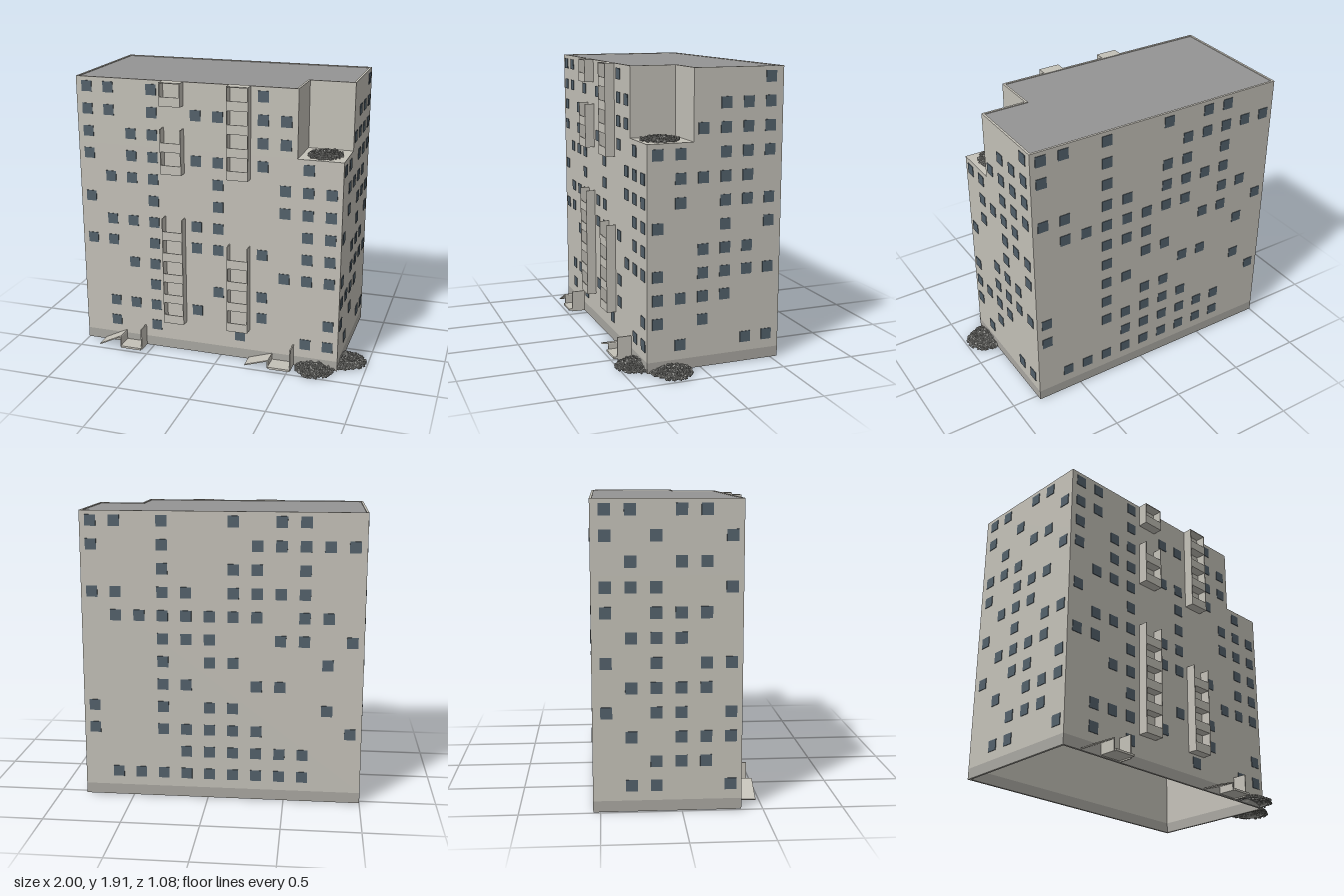
import * as THREE from 'three';
import { mergeGeometries } from 'three/addons/utils/BufferGeometryUtils.js';

const mat = (color) => new THREE.MeshStandardMaterial({ color, side: THREE.DoubleSide, flatShading: true });
const WALL = mat(0xc4c1b8), BASE = mat(0xa9a7a1), ROOF = mat(0x949494), GLASS = mat(0x53616b);
const PANEL = mat(0xb4beb6), RUBBLE = mat(0x8c8c88);

// Main dimensions
const L = -1, R = 0.82, F = 0.365, B = -0.545, H = 1.9;
const NX = 0.52, NZ = 0.06, TERRACE = 1.45, T = 0.015, STEP = 0.152;

function box(x0, x1, y0, y1, z0, z1) {
  return new THREE.BoxGeometry(x1 - x0, y1 - y0, z1 - z0)
    .translate((x0 + x1) / 2, (y0 + y1) / 2, (z0 + z1) / 2);
}

// Plan outlines in (x, z), inset by t
const rectPlan = (t) => [[L + t, B + t], [R - t, B + t], [R - t, F - t], [L + t, F - t]];
const cutPlan = (t) => [[L + t, B + t], [R - t, B + t], [R - t, NZ - t], [NX - t, NZ - t], [NX - t, F - t], [L + t, F - t]];
const toVectors = (pts) => pts.map((p) => new THREE.Vector2(...p));

// Upright prism of a plan, optionally hollow
function prism(outer, inner, y0, y1) {
  const shape = new THREE.Shape(toVectors(outer));
  if (inner) shape.holes.push(new THREE.Path(toVectors(inner)));
  return new THREE.ExtrudeGeometry(shape, { depth: y1 - y0, bevelEnabled: false })
    .rotateX(Math.PI / 2).translate(0, y1, 0);
}

// Window columns per storey, from the top storey down
const FRONT = [[0, 1, 3, 8], [0, 1, 3, 5, 6, 8, 9], [0, 2, 3, 8, 9], [0, 2, 3, 5, 6, 8, 10], [1, 2, 3, 6, 9, 10, 11],
  [0, 3, 6, 9, 10, 11], [1, 2, 3, 5, 6, 10, 11], [0, 1, 3, 5, 6, 8, 10, 11], [2, 3, 9, 10, 11], [3, 6, 8],
  [1, 2, 3, 5, 8, 11], [1, 3, 7, 10, 11]];
const RIGHT = [[5], [3, 4, 5], [2, 3, 4, 5], [0, 1, 3, 4, 5], [1, 2, 3, 4], [1, 3, 4, 5], [0, 3, 5],
  [2, 3, 4], [0, 2, 3, 4, 5], [0, 1, 2, 3], [0, 2], [1, 4, 5]];
const BACK = [[0, 1, 3, 6, 8, 9], [0, 3, 7, 8, 9, 10, 11], [3, 6, 7, 9], [0, 1, 3, 4, 6, 7, 8, 9],
  [1, 2, 3, 4, 5, 6, 7, 9, 10], [3, 4, 5, 8, 9, 11], [3, 5, 6, 10], [3, 4, 7, 8], [0, 3, 5, 6, 10],
  [0, 3, 4, 5, 6, 7, 11], [4, 5, 6, 7, 8, 9], [1, 2, 3, 4, 5, 6, 7, 8, 9]];
const LEFT = [[1, 2, 4, 5], [0, 3, 5], [1, 2, 4], [0, 3, 4, 5], [1, 2, 3, 5], [2, 3, 4], [0, 1, 3, 5],
  [1, 2, 3, 4], [0, 2, 3, 5], [0, 1, 2, 4], [1, 2, 3], [0, 3, 4]];

function windows(rows, place) {
  const parts = [];
  rows.forEach((cols, r) => cols.forEach((c) => parts.push(place(c, 1.837 - r * STEP))));
  return mergeGeometries(parts);
}

// Small seeded generator for the rubble
function seeded(s) {
  return () => ((s = (s * 16807) % 2147483647) / 2147483647);
}

// Low heap of broken pieces; a0..a1 limits the directions it spreads in
function heap(x, y, z, rx, rz, h, a0, a1, seed) {
  const rnd = seeded(seed), parts = [];
  for (let i = 0; i < 420; i++) {
    const a = a0 + (a1 - a0) * rnd(), d = Math.sqrt(rnd());
    const s = 0.005 + 0.008 * rnd();
    parts.push(new THREE.IcosahedronGeometry(s, 0)
      .scale(1, 0.4 + 0.5 * rnd(), 0.5 + rnd())
      .rotateX(rnd() * 3).rotateY(rnd() * 6)
      .translate(x + Math.cos(a) * d * rx, y + s * 0.6 + h * (1 - d * d) * (0.75 + 0.25 * rnd()), z + Math.sin(a) * d * rz));
  }
  const mound = new THREE.SphereGeometry(1, 18, 5, 0, Math.PI * 2, 0, Math.PI / 2).toNonIndexed();
  const p = mound.attributes.position;
  for (let i = 0; i < p.count; i++) {
    // fold the dome flat against the wall it leans on
    let px = p.getX(i) * rx * 0.85, pz = p.getZ(i) * rz * 0.85;
    if (a1 - a0 < 4) {
      if (a0 < 0) px = Math.max(px, 0);
      else pz = Math.max(pz, 0);
    }
    p.setXYZ(i, x + px, y + p.getY(i) * h * 0.8, z + pz);
  }
  mound.computeVertexNormals();
  parts.push(mound);
  return mergeGeometries(parts);
}

// Stack of balconies: two side fins, a floor and a parapet per storey, optional cap
function balconies(x0, x1, y0, floors, cap) {
  const t = 0.006, z1 = 0.43, top = cap ? H : y0 + floors * STEP, parts = [];
  parts.push(box(x0, x0 + t, y0, top, F, z1), box(x1 - t, x1, y0, top, F, z1));
  for (let i = 0; i < floors; i++) {
    const y = y0 + i * STEP;
    parts.push(box(x0, x1, y, y + t, F, z1), box(x0, x1, y, y + 0.062, z1 - t, z1));
  }
  if (cap) parts.push(box(x0, x1, H - t, H, F, z1));
  return mergeGeometries(parts);
}

// Entrance: sloping plate, landing, low wall and tall side wall
function entrance(x, rise) {
  const t = 0.008, w = 0.165;
  const plate = new THREE.BoxGeometry(Math.hypot(w, rise), t, 0.11)
    .rotateZ(Math.atan2(rise, w)).translate(x - w / 2, rise / 2 + 0.008, F + 0.055);
  return mergeGeometries([plate,
    box(x, x + 0.15, 0.008, 0.022, F, 0.487),
    box(x - t, x, 0.008, rise + 0.008, F, 0.475),
    box(x + 0.142, x + 0.15, 0, 0.153, F, 0.46)]);
}

export function createModel() {
  const group = new THREE.Group();
  const add = (name, geometry, material) => {
    const mesh = new THREE.Mesh(geometry, material);
    mesh.name = name;
    group.add(mesh);
  };

  // Hollow shell, open below, with a corner cut away for the terrace
  add('plinth', prism(rectPlan(0), rectPlan(T), 0, 0.07), BASE);
  add('lowerWalls', prism(rectPlan(0), rectPlan(T), 0.07, TERRACE), WALL);
  add('upperWalls', prism(cutPlan(0), cutPlan(T), TERRACE, H), WALL);
  add('terraceFloor', box(NX - T, R - T, TERRACE - T, TERRACE, NZ - T, F - T), WALL);
  add('roof', prism(cutPlan(T), null, H - 0.02, H - 0.005), ROOF);

  // Windows, standing just proud of each wall
  const s = 0.036, d = 0.004, colX = (c) => -0.925 + c * 0.1522, colZ = (c) => 0.296 - c * 0.151;
  add('frontWindows', windows(FRONT, (c, y) => box(colX(c) - s, colX(c) + s, y - s, y + s, F - d, F + d)), GLASS);
  add('backWindows', windows(BACK, (c, y) => box(colX(11 - c) - s, colX(11 - c) + s, y - s, y + s, B - d, B + d)), GLASS);
  add('rightWindows', windows(RIGHT, (c, y) => box(R - d, R + d, y - s, y + s, colZ(c) - s, colZ(c) + s)), GLASS);
  add('leftWindows', windows(LEFT, (c, y) => box(L - d, L + d, y - s, y + s, colZ(c) - s, colZ(c) + s)), GLASS);

  // Balcony stacks: left edge, bottom, storeys, capped
  [[-0.39, 0.22, 5, false], [-0.39, 1.29, 2, false], [-0.39, 1.745, 1, true],
    [0.065, 0.22, 4, false], [0.065, 1.29, 4, true]].forEach(([x, y, n, cap]) =>
    add('balconyStack', balconies(x, x + 0.145, y, n, cap), WALL));

  // Entrances and the stairwell strips inside the wall behind them
  [[-0.7, 0.082], [0.37, 0.055]].forEach(([x, rise]) => {
    add('entrance', entrance(x, rise), WALL);
    add('stairwellStrip', box(x, x + 0.15, 0.04, 1.4, F - T - 0.004, F - T), PANEL);
  });

  // Rubble heaps at the corner and on the terrace
  add('frontRubble', heap(0.67, 0, F, 0.135, 0.155, 0.045, 0, Math.PI, 11), RUBBLE);
  add('sideRubble', heap(R, 0, 0.21, 0.17, 0.135, 0.04, -Math.PI / 2, Math.PI / 2, 23), RUBBLE);
  add('terraceRubble', heap(0.67, TERRACE, 0.225, 0.11, 0.12, 0.02, 0, Math.PI * 2, 37), RUBBLE);
  return group;
}
